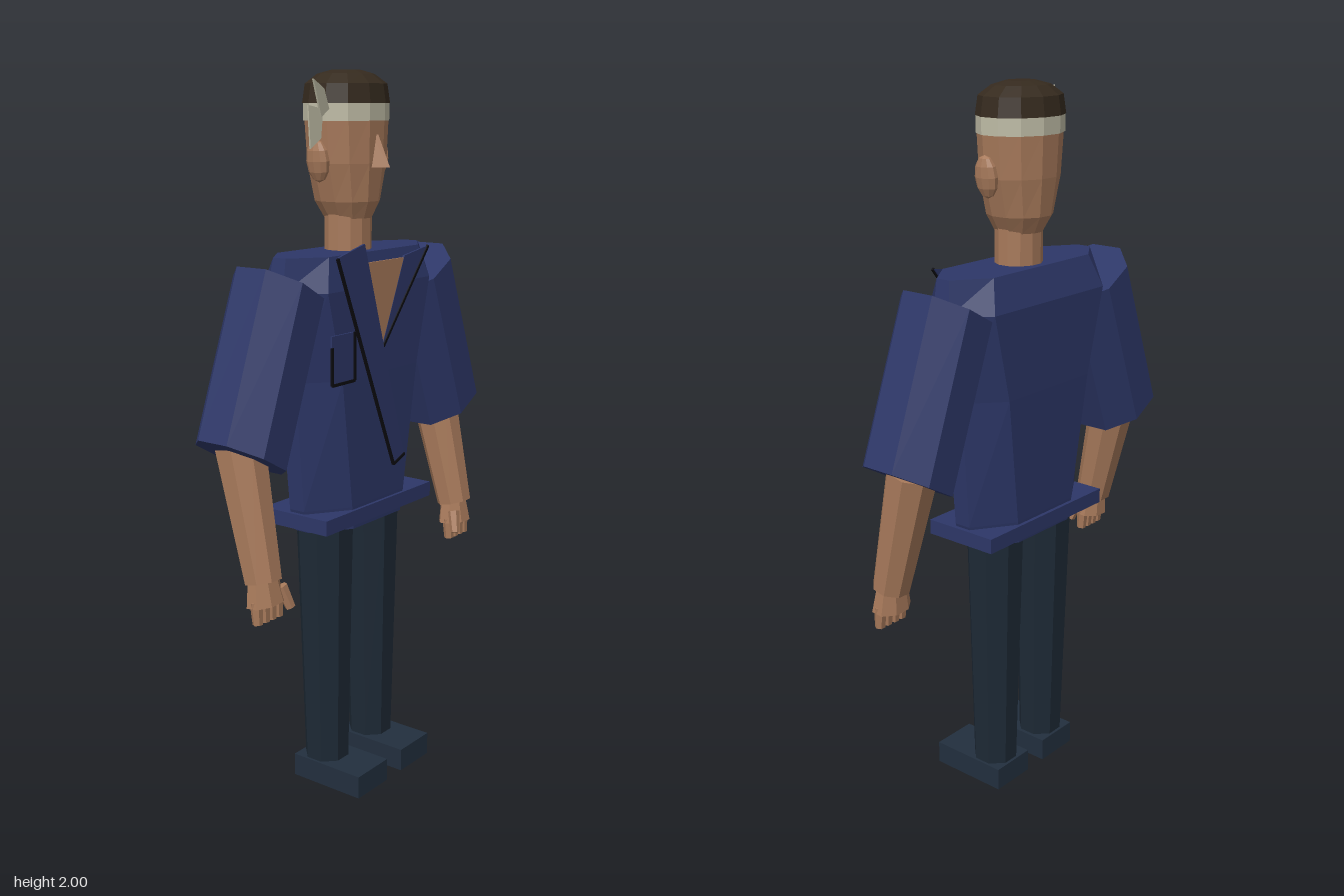
import * as THREE from 'three';

const mat = (name, color) => {
  const m = new THREE.MeshStandardMaterial({ color, flatShading: true, side: THREE.DoubleSide });
  m.name = name;
  return m;
};

export function createModel() {
  const shirt = mat('shirt blue', 0x2d3768);
  const skin = mat('skin', 0xa87a5b);
  const trousers = mat('trouser navy', 0x1d2935);
  const shoeMat = mat('shoe slate', 0x222f3e);
  const hairMat = mat('hair brown', 0x352a1e);
  const cloth = mat('headband cream', 0xbfbca6);
  const black = mat('trim black', 0x0c0b10);

  const root = new THREE.Group();
  root.name = 'figure';
  const add = (name, geo, material, x = 0, y = 0, z = 0) => {
    const m = new THREE.Mesh(geo, material);
    m.name = name;
    m.position.set(x, y, z);
    root.add(m);
    return m;
  };
  const box = (name, material, x0, x1, y0, y1, z0, z1) =>
    add(name, new THREE.BoxGeometry(Math.abs(x1 - x0), y1 - y0, z1 - z0), material,
      (x0 + x1) / 2, (y0 + y1) / 2, (z0 + z1) / 2);

  // Tapered prism running from the top point to the bottom point
  const rod = (name, material, top, bottom, rTop, rBottom, sides, shear = 0) => {
    const a = new THREE.Vector3(...top), b = new THREE.Vector3(...bottom);
    const g = new THREE.CylinderGeometry(rTop, rBottom, a.distanceTo(b), sides, 1, false, Math.PI / sides);
    const p = g.attributes.position;
    for (let i = 0; i < p.count; i++) p.setY(i, p.getY(i) + shear * p.getX(i));
    const mid = a.clone().add(b).multiplyScalar(0.5);
    const m = add(name, g, material, mid.x, mid.y, mid.z);
    m.quaternion.setFromUnitVectors(new THREE.Vector3(0, 1, 0), a.sub(b).normalize());
    return m;
  };

  // Closed skin over rings of points, listed from bottom to top
  const loft = (rings) => {
    const n = rings[0].length, pos = [], idx = [];
    rings.forEach(r => r.forEach(p => pos.push(...p)));
    for (let k = 0; k < rings.length - 1; k++) {
      for (let i = 0; i < n; i++) {
        const a = k * n + i, b = k * n + (i + 1) % n;
        idx.push(a, b, b + n, a, b + n, a + n);
      }
    }
    const last = (rings.length - 1) * n;
    for (let i = 1; i < n - 1; i++) idx.push(0, i + 1, i, last, last + i, last + i + 1);
    const g = new THREE.BufferGeometry();
    g.setAttribute('position', new THREE.Float32BufferAttribute(pos, 3));
    g.setIndex(idx);
    const flat = g.toNonIndexed();
    flat.computeVertexNormals();
    return flat;
  };
  const oval = (y, rx, zBack, zFront, n = 12) => Array.from({ length: n }, (_, i) => {
    const t = (i + 0.5) / n * Math.PI * 2;
    return [Math.sin(-t) * -rx, y, (zFront + zBack) / 2 + Math.cos(t) * (zFront - zBack) / 2];
  });
  // Eight-cornered torso section: half width, half width of the flat front, depth
  const section = (y, w, c, zb, zf) => {
    const m = (zb + zf) / 2, d = (zf - zb) * 0.12;
    return [[c, y, zf], [w, y, m + d], [w, y, m - d], [c, y, zb],
      [-c, y, zb], [-w, y, m - d], [-w, y, m + d], [-c, y, zf]];
  };

  // Thin cut-out plate facing the front
  const plate = (name, material, pts, z, depth = 0.006) => add(name,
    new THREE.ExtrudeGeometry(new THREE.Shape(pts.map(p => new THREE.Vector2(...p))),
      { depth, bevelEnabled: false }), material, 0, 0, z);
  // Narrow line along a path of points
  const piping = (name, pts, z) => {
    for (let i = 0; i < pts.length - 1; i++) {
      const [x0, y0] = pts[i], [x1, y1] = pts[i + 1];
      const m = add(name, new THREE.BoxGeometry(Math.hypot(x1 - x0, y1 - y0), 0.008, 0.006), black,
        (x0 + x1) / 2, (y0 + y1) / 2, z);
      m.rotation.z = Math.atan2(y1 - y0, x1 - x0);
    }
  };

  // Torso and belt
  add('torso', loft([
    section(0.775, 0.215, 0.11, -0.115, 0.08),
    section(0.84, 0.235, 0.12, -0.12, 0.083),
    section(1.2, 0.265, 0.17, -0.132, 0.09),
    section(1.44, 0.31, 0.23, -0.135, 0.09),
    section(1.53, 0.295, 0.2, -0.105, 0.07),
  ]), shirt);
  box('belt', shirt, -0.245, 0.245, 0.79, 0.832, -0.13, 0.092);

  // Open collar, wrapped lapels and chest pocket
  plate('chest opening', skin, [[-0.082, 1.505], [0, 1.282], [0.098, 1.505]], 0.09);
  plate('left lapel', shirt, [[0.21, 1.528], [0.098, 1.51], [0, 1.28], [-0.08, 1.267], [-0.03, 1.235]], 0.091);
  plate('right lapel', shirt, [[-0.205, 1.53], [0.042, 0.932], [0.094, 0.952], [-0.092, 1.557]], 0.098);
  plate('pocket', shirt, [[-0.23, 1.2], [-0.135, 1.2], [-0.135, 1.33], [-0.23, 1.33]], 0.096);
  piping('left lapel trim', [[0.21, 1.528], [-0.03, 1.235], [-0.08, 1.267]], 0.097);
  piping('right lapel trim', [[-0.208, 1.528], [0.042, 0.932], [0.094, 0.952]], 0.104);
  piping('pocket trim', [[-0.23, 1.3], [-0.23, 1.2], [-0.135, 1.2], [-0.135, 1.33]], 0.102);

  // Head, neck, face and hair
  add('neck', loft([oval(1.5, 0.068, -0.085, 0.04), oval(1.64, 0.068, -0.085, 0.04)]), skin);
  add('head', loft([
    oval(1.615, 0.062, -0.09, 0.045), oval(1.66, 0.088, -0.115, 0.065),
    oval(1.76, 0.115, -0.127, 0.075), oval(1.88, 0.125, -0.132, 0.078),
  ]), skin);
  add('nose', loft([
    [[-0.024, 1.75, 0.06], [0.024, 1.75, 0.06], [0, 1.75, 0.117]],
    [[-0.007, 1.835, 0.06], [0.007, 1.835, 0.06], [0, 1.835, 0.078]],
  ].map(r => [r[0], r[2], r[1]].reverse())), skin);
  add('headband', loft([oval(1.87, 0.128, -0.135, 0.079), oval(1.92, 0.128, -0.135, 0.079)]), cloth);
  add('hair', loft([
    oval(1.915, 0.13, -0.137, 0.081), oval(1.965, 0.122, -0.13, 0.074),
    oval(1.99, 0.085, -0.1, 0.042), oval(2, 0.045, -0.066, 0.01),
  ]), hairMat);
  const upperTail = plate('upper headband tail', cloth, [[-0.122, 1.9], [-0.145, 1.95], [-0.197, 1.975], [-0.16, 1.88]], -0.01, 0.005);
  const lowerTail = plate('lower headband tail', cloth, [[-0.122, 1.9], [-0.175, 1.91], [-0.168, 1.8], [-0.13, 1.825]], 0.0, 0.005);
  upperTail.rotation.y = 0.12;
  lowerTail.rotation.y = -0.12;

  for (const s of [1, -1]) {
    const side = s > 0 ? 'left' : 'right';

    const ear = add(`${side} ear`, new THREE.SphereGeometry(1, 10, 6), skin, s * 0.13, 1.768, -0.022);
    ear.scale.set(0.02, 0.056, 0.036);
    ear.rotation.z = -s * 0.12;

    // Sleeve, forearm and hand
    rod(`${side} sleeve`, shirt, [s * 0.292, 1.455, -0.025], [s * 0.45, 1.033, -0.025], 0.127, 0.127, 8, s * 0.165);
    rod(`${side} forearm`, skin, [s * 0.44, 1.06, -0.035], [s * 0.45, 0.715, 0.045], 0.07, 0.052, 8);
    rod(`${side} palm`, skin, [s * 0.45, 0.735, 0.042], [s * 0.447, 0.655, 0.05], 0.045, 0.06, 8).scale.z = 0.75;
    for (let i = 0; i < 4; i++) {
      const x = s * (0.408 + i * 0.026);
      rod(`${side} finger`, skin, [x, 0.67, 0.052], [x, 0.608, 0.056], 0.018, 0.014, 6);
    }
    rod(`${side} thumb`, skin, [s * 0.41, 0.695, 0.07], [s * 0.393, 0.635, 0.088], 0.018, 0.014, 6);

    // Leg and shoe
    rod(`${side} leg`, trousers, [s * 0.107, 0.8, -0.025], [s * 0.105, 0.05, -0.022], 0.083, 0.064, 8);
    box(`${side} shoe`, shoeMat, s * 0.035, s * 0.172, 0, 0.066, -0.09, 0.145);
  }
  return root;
}
